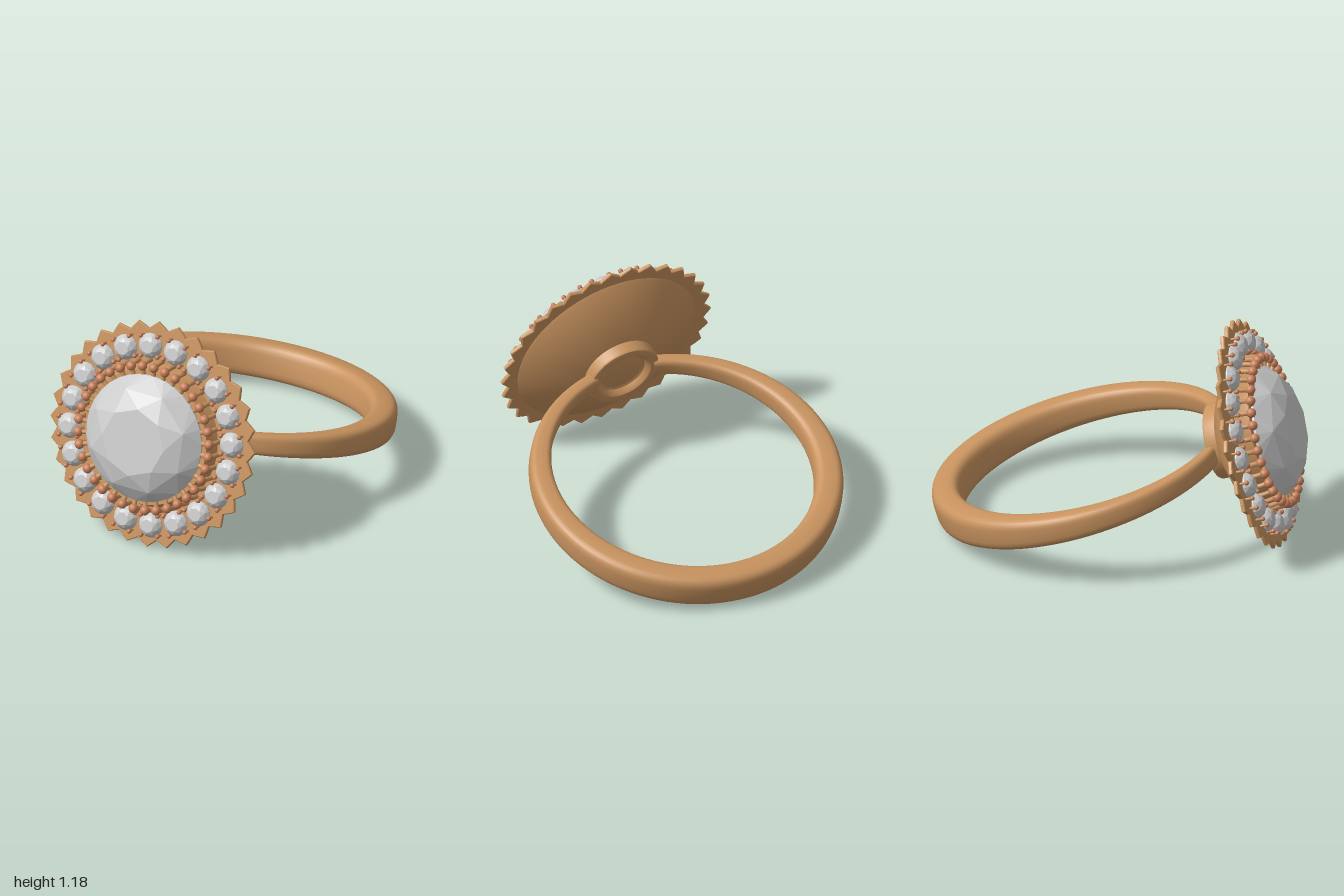
import * as THREE from 'three';
import { toCreasedNormals } from 'three/addons/utils/BufferGeometryUtils.js';
import { ConvexGeometry } from 'three/addons/geometries/ConvexGeometry.js';

const metal = new THREE.MeshStandardMaterial({ color: 0xc8935f });
const copper = new THREE.MeshStandardMaterial({ color: 0xc8805a });
const stone = new THREE.MeshStandardMaterial({ color: 0xcccccc, flatShading: true });

const TAU = Math.PI * 2;
const polar = (r, a, z) => new THREE.Vector3(r * Math.cos(a), r * Math.sin(a), z);

function add(parent, name, geometry, material) {
  const mesh = new THREE.Mesh(geometry, material);
  mesh.name = name;
  parent.add(mesh);
  return mesh;
}

// Turned part around the z axis; profile points are [radius, z], back to front
function turned(points) {
  const geo = new THREE.LatheGeometry(points.map(([r, z]) => new THREE.Vector2(r, z)), 64);
  return toCreasedNormals(geo.rotateX(Math.PI / 2), 0.6);
}

// Round brilliant cut; rings are [count, radius, z, angle offset in steps]
function cutStone(rings, culet) {
  const pts = [new THREE.Vector3(0, 0, culet)];
  for (const [n, r, z, off] of rings)
    for (let i = 0; i < n; i++) pts.push(polar(r, ((i + off) / n) * TAU, z));
  return new ConvexGeometry(pts);
}

// Tapered finger band, swept round and left open where it enters the collar
function bandGeometry() {
  const steps = 96, sides = 28, pos = [], index = [];
  const end = Math.PI - 0.235;
  const soft = (v) => Math.sign(v) * Math.pow(Math.abs(v), 0.6);
  for (let i = 0; i <= steps; i++) {
    const a = -end + (2 * end * i) / steps;
    const thick = 0.113 + 0.0425 * Math.cos(a) + 0.024 * Math.sin(a) ** 2;
    const half = 0.078 + 0.024 * Math.cos(a);
    for (let j = 0; j < sides; j++) {
      const s = (j / sides) * TAU;
      const r = 0.7 + (thick / 2) * (1 + soft(Math.cos(s)));
      pos.push(r * Math.sin(a), half * soft(Math.sin(s)), -0.93 - r * Math.cos(a));
      if (i < steps) {
        const p = i * sides + j, q = i * sides + ((j + 1) % sides);
        index.push(p, q, p + sides, q, q + sides, p + sides);
      }
    }
  }
  const geo = new THREE.BufferGeometry();
  geo.setAttribute('position', new THREE.Float32BufferAttribute(pos, 3));
  geo.setIndex(index);
  geo.computeVertexNormals();
  return geo;
}

// Toothed disc with a small bevel
function plateGeometry() {
  const teeth = 32, shape = new THREE.Shape();
  for (let i = 0; i < teeth * 4; i++) {
    const r = [0.568, 0.588, 0.609, 0.588][i % 4];
    const p = polar(r, ((i / 4 - 0.0) / teeth) * TAU, 0);
    if (i) shape.lineTo(p.x, p.y); else shape.moveTo(p.x, p.y);
  }
  shape.closePath();
  const geo = new THREE.ExtrudeGeometry(shape, {
    depth: 0.012, bevelEnabled: true, bevelThickness: 0.005, bevelSize: 0.004, bevelSegments: 1,
  });
  return geo.translate(0, 0, -0.012);
}

export function createModel() {
  const model = new THREE.Group();
  model.name = 'ring';

  // The whole ring leans back; local z runs from the band to the centre stone
  const ring = new THREE.Group();
  ring.name = 'tiltedRing';
  ring.position.set(0, 0.6, 0.74);
  ring.rotation.x = -0.281;
  model.add(ring);

  add(ring, 'band', bandGeometry(), metal);
  add(ring, 'toothedPlate', plateGeometry(), metal);

  // Conical back and hollowed collar
  add(ring, 'backCone', turned([[0, -0.175], [0.19, -0.175], [0.515, -0.025], [0.525, -0.012]]), metal);
  add(ring, 'collar', turned([
    [0, -0.205], [0.105, -0.205], [0.118, -0.2], [0.132, -0.205], [0.145, -0.228],
    [0.155, -0.236], [0.185, -0.238], [0.197, -0.234], [0.203, -0.224], [0.203, -0.13],
  ]), metal);

  // Centre stone in its seat
  add(ring, 'stoneSeat', turned([[0.395, 0], [0.375, 0.04], [0.365, 0.08], [0.335, 0.08]]), metal);
  add(ring, 'centreStone', cutStone([
    [8, 0.185, 0.222, 0], [8, 0.285, 0.176, 0.5], [32, 0.345, 0.1, 0], [32, 0.345, 0.088, 0],
  ], 0.0), stone);

  // Claws with round tips around the centre stone
  const claws = new THREE.Group();
  claws.name = 'centreClaws';
  ring.add(claws);
  const clawGeo = new THREE.TubeGeometry(new THREE.CatmullRomCurve3([
    polar(0.405, 0, 0), polar(0.4, 0, 0.06), polar(0.385, 0, 0.095), polar(0.345, 0, 0.092),
  ]), 10, 0.013, 7);
  const tipGeo = new THREE.SphereGeometry(0.026, 14, 10);
  for (let i = 0; i < 36; i++) {
    const a = (i / 36) * TAU;
    add(claws, 'claw', clawGeo, metal).rotation.z = a;
    add(claws, 'clawTip', tipGeo, copper).position.copy(polar(0.391, a, 0.102));
  }

  // Halo of small stones, each held by four beaded pins
  const halo = new THREE.Group();
  halo.name = 'halo';
  ring.add(halo);
  const smallGeo = cutStone([
    [8, 0.036, 0.064, 0], [8, 0.055, 0.05, 0.5], [16, 0.069, 0.026, 0], [16, 0.069, 0.02, 0],
  ], -0.01);
  const pinGeo = new THREE.CylinderGeometry(0.007, 0.007, 0.045, 8).rotateX(Math.PI / 2);
  const beadGeo = new THREE.SphereGeometry(0.013, 10, 8);
  for (let i = 0; i < 20; i++) {
    const set = new THREE.Group();
    set.name = 'haloSetting';
    set.rotation.z = ((i + 0.5) / 20) * TAU;
    halo.add(set);
    add(set, 'haloStone', smallGeo, stone).position.x = 0.485;
    for (const sx of [-1, 1]) for (const sy of [-1, 1]) {
      const x = 0.485 + sx * 0.055, y = sy * 0.05;
      add(set, 'pin', pinGeo, metal).position.set(x, y, 0.018);
      add(set, 'pinBead', beadGeo, copper).position.set(x, y, 0.042);
    }
  }
  return model;
}
